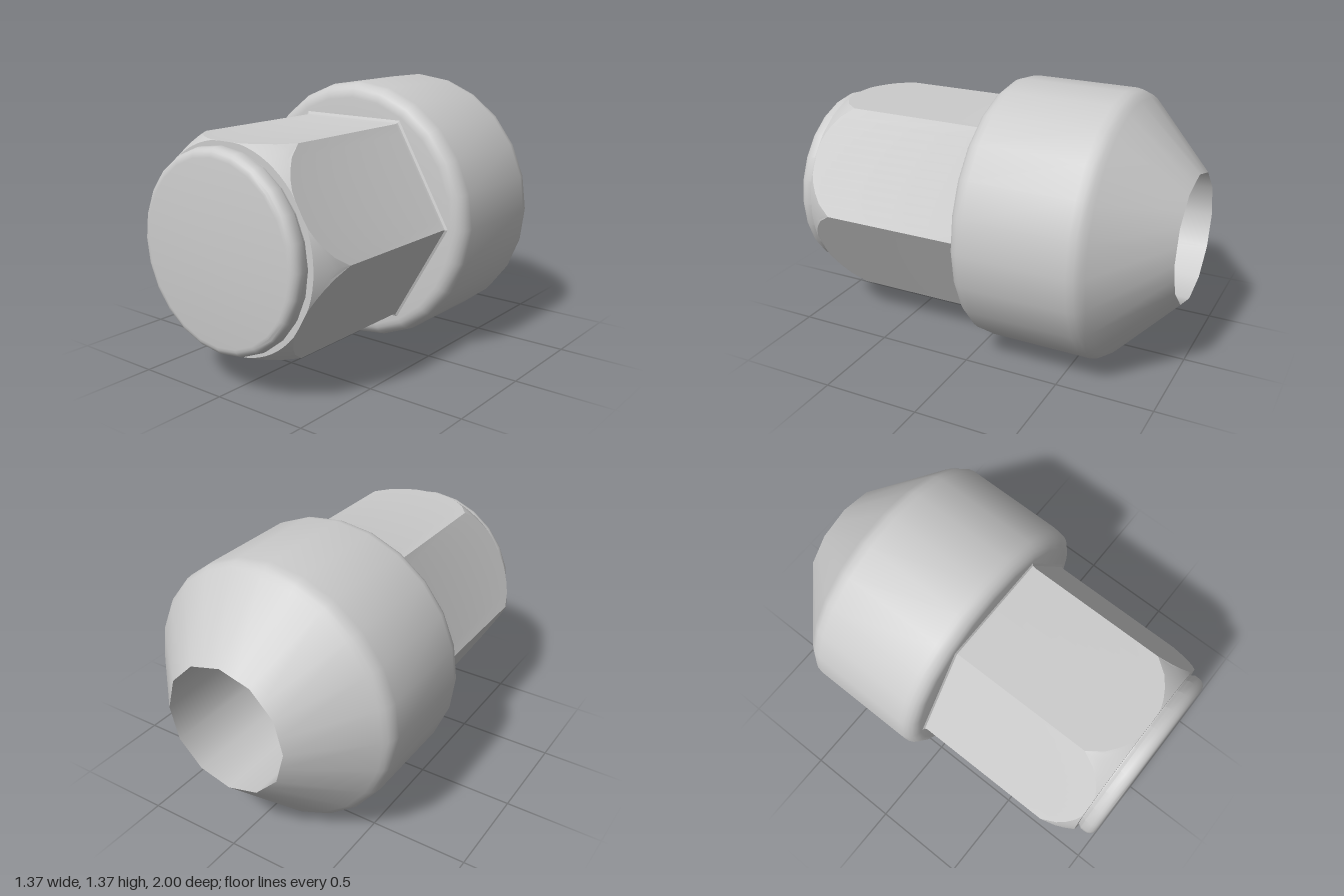
import * as THREE from 'three';
import { toCreasedNormals } from 'three/addons/utils/BufferGeometryUtils.js';

const CENTER_Y = 0.685;
const material = new THREE.MeshStandardMaterial({ color: 0xcccccc });

function addMesh(group, name, geometry, crease) {
  const mesh = new THREE.Mesh(toCreasedNormals(geometry, crease), material);
  mesh.name = name;
  group.add(mesh);
}

// Turned profile of [radius, z] points, running along the z axis
function turned(profile, segments) {
  const points = profile.map(([r, z]) => new THREE.Vector2(r, z));
  return new THREE.LatheGeometry(points, segments).rotateX(Math.PI / 2);
}

// Quarter-round edge from the side wall to the front face
function roundedEdge(radius, z, roundR, roundZ, steps = 5) {
  return Array.from({ length: steps + 1 }, (_, i) => {
    const a = (i / steps) * Math.PI / 2;
    return [radius - roundR * (1 - Math.cos(a)), z - roundZ * (1 - Math.sin(a))];
  });
}

// Hexagonal shank whose front corners are cut by a rounded chamfer
function hexShank() {
  const perSide = 12, count = perSide * 6, tip = 0.505, front = 0.91, chamferLength = 0.16;
  const corner = 0.5 / Math.cos(Math.PI / 6);
  const chamferSteps = 5, rows = [];
  for (let i = 0; i <= count; i++) {
    const angle = (i / count) * Math.PI * 2;
    const offFlat = (angle % (Math.PI / 3)) - Math.PI / 6;
    const hexR = 0.5 / Math.cos(offFlat);
    const ring = [[hexR * 1.03, 0], [hexR * 1.008, 0.006], [hexR, 0.02]];
    // Chamfer starts further back where the hexagon is wider
    const endR = Math.min(hexR, tip);
    for (let k = 0; k <= chamferSteps; k++) {
      const r = hexR + (endR - hexR) * (k / chamferSteps);
      const t = Math.max(0, (corner - r) / (corner - tip));
      ring.push([r, front - chamferLength * (1 - Math.min(1, Math.pow(t, 0.75)))]);
    }
    ring.push([0.4, front]);
    rows.push(ring.map(([r, z]) => [r * Math.cos(angle), r * Math.sin(angle), z]));
  }
  const n = rows[0].length, index = [];
  for (let i = 0; i < count; i++) {
    for (let j = 0; j < n - 1; j++) {
      const a = i * n + j, b = a + n;
      index.push(a, b, a + 1, b, b + 1, a + 1);
    }
  }
  const geometry = new THREE.BufferGeometry();
  geometry.setAttribute('position', new THREE.Float32BufferAttribute(rows.flat(2), 3));
  geometry.setIndex(index);
  geometry.computeVertexNormals();
  return geometry;
}

// Round collar with a tapered seat; its rear edge meets a 12-sided bore
function collarGeometry() {
  const profile = [
    [0.33, -1], [0.645, -0.69], [0.664, -0.67], [0.679, -0.645], [0.685, -0.61],
    ...roundedEdge(0.685, 0, 0.075, 0.08), [0.4, 0],
  ];
  const geometry = turned(profile, 24);
  const position = geometry.attributes.position;
  for (let s = 1; s <= 24; s += 2) {
    const i = s * profile.length, k = Math.cos(Math.PI / 12);
    position.setXY(i, position.getX(i) * k, position.getY(i) * k);
  }
  return geometry;
}

export function createModel() {
  const group = new THREE.Group();
  group.name = 'wheelNut';
  const body = new THREE.Group();
  body.name = 'nutBody';
  body.position.y = CENTER_Y;
  group.add(body);

  addMesh(body, 'taperedCollar', collarGeometry(), 0.6);
  addMesh(body, 'hexShank', hexShank(), 0.3);

  // Rounded end cap
  addMesh(body, 'endCap', turned([
    [0.475, 0.88], [0.475, 0.915], [0.485, 0.93],
    ...roundedEdge(0.485, 1, 0.045, 0.045), [0, 1],
  ], 24), 0.6);

  // Blind bore, seen from inside
  addMesh(body, 'bore', turned([[0, 0.7], [0.33, 0.7], [0.33, -1]], 12), 0.6);
  return group;
}
